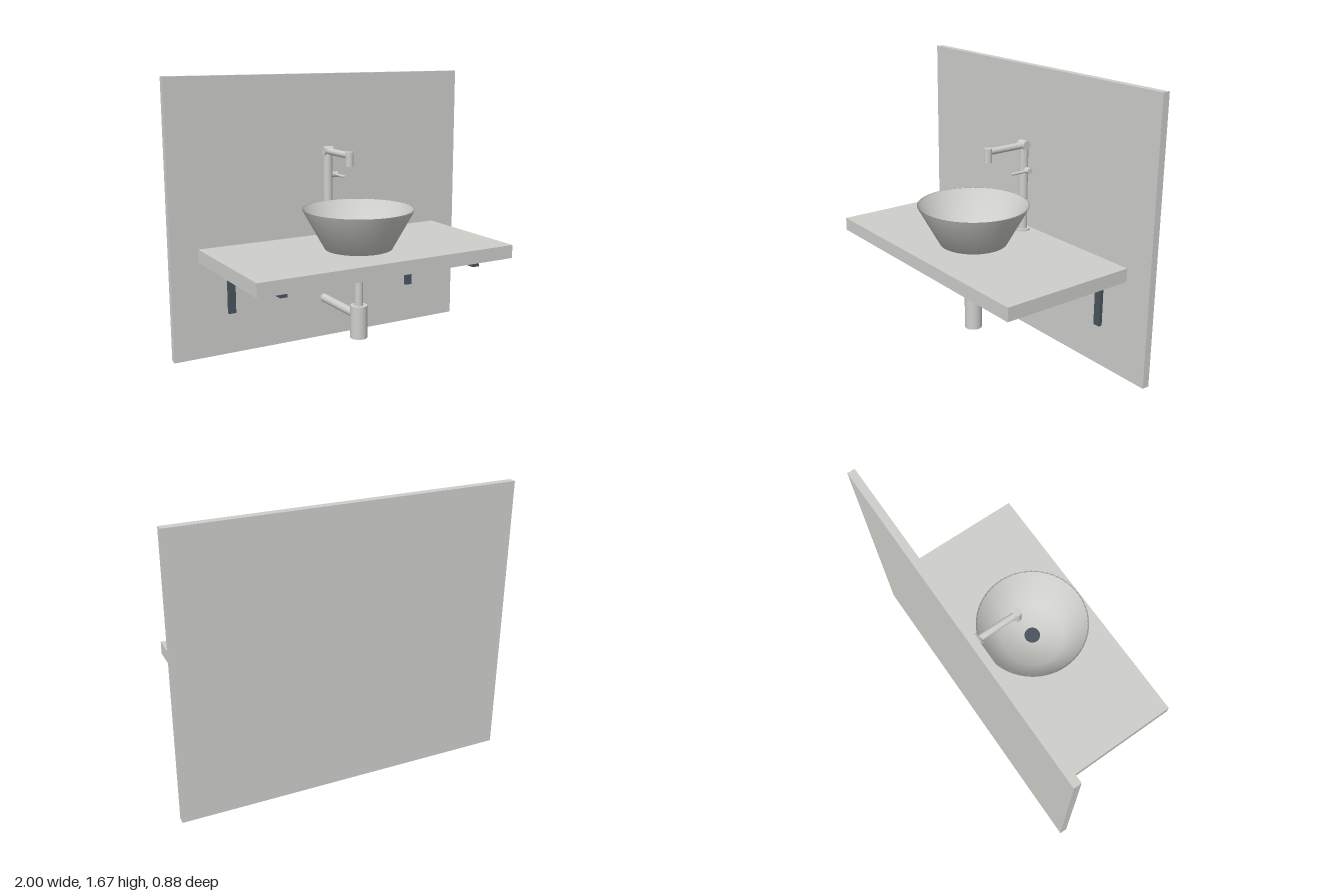
import * as THREE from 'three';

export function createModel() {
  const model = new THREE.Group();
  const stone = new THREE.MeshStandardMaterial({ color: 0xcececb });
  stone.name = 'light grey';
  const steel = new THREE.MeshStandardMaterial({ color: 0x4a545e });
  steel.name = 'dark slate';

  const add = (name, geometry, material, x, y, z) => {
    const mesh = new THREE.Mesh(geometry, material);
    mesh.name = name;
    mesh.position.set(x, y, z);
    model.add(mesh);
    return mesh;
  };
  // Box from its lower and upper corners
  const box = (name, material, [x0, y0, z0], [x1, y1, z1]) =>
    add(name, new THREE.BoxGeometry(x1 - x0, y1 - y0, z1 - z0), material,
      (x0 + x1) / 2, (y0 + y1) / 2, (z0 + z1) / 2);
  // Cylinder running between two points
  const rod = (name, material, radius, from, to) => {
    const a = new THREE.Vector3(...from), b = new THREE.Vector3(...to);
    const mesh = add(name, new THREE.CylinderGeometry(radius, radius, a.distanceTo(b), 32),
      material, 0, 0, 0);
    mesh.position.copy(a).add(b).multiplyScalar(0.5);
    mesh.quaternion.setFromUnitVectors(new THREE.Vector3(0, 1, 0), b.sub(a).normalize());
    return mesh;
  };

  // Wall panel and counter
  box('wallPanel', stone, [-1, 0, -0.44], [1, 1.67, -0.395]);
  box('counter', stone, [-0.83, 0.59, -0.395], [0.83, 0.67, 0.44]);

  // Pair of L-shaped brackets
  for (const side of [-1, 1]) {
    const x = side * 0.635, w = 0.0225;
    const name = side > 0 ? 'left' : 'right';
    box(name + 'BracketArm', steel, [x - w, 0.54, -0.395], [x + w, 0.59, 0.345]);
    box(name + 'BracketUpright', steel, [x - w, 0.255, -0.395], [x + w, 0.54, -0.372]);
  }

  // Basin: one closed profile, outside then inside
  const profile = [[0, 0], [0.2, 0], [0.33, 0.235], [0.32, 0.235], [0.19, 0.015], [0, 0.015]]
    .map(([r, y]) => new THREE.Vector2(r, y));
  add('basin', new THREE.LatheGeometry(profile, 64), stone, 0, 0.67, 0.04);
  rod('drainCover', steel, 0.047, [0, 0.683, 0.04], [0, 0.691, 0.04]);

  // Tap
  const tapZ = -0.333;
  rod('tapBase', stone, 0.045, [0, 0.67, tapZ], [0, 0.682, tapZ]);
  rod('tapPost', stone, 0.028, [0, 0.68, tapZ], [0, 1.205, tapZ]);
  rod('tapElbow', stone, 0.028, [-0.03, 1.205, tapZ], [0.03, 1.205, tapZ]);
  rod('tapSpout', stone, 0.02, [0, 1.203, tapZ], [0, 1.203, -0.065]);
  rod('tapOutlet', stone, 0.024, [0, 1.14, -0.065], [0, 1.225, -0.065]);
  rod('leverHub', stone, 0.018, [0, 1.055, tapZ], [0.063, 1.055, tapZ]);
  rod('lever', stone, 0.008, [0.05, 1.055, tapZ], [0.05, 1.055, -0.2]);

  // Waste pipe and bottle trap
  rod('wastePipe', stone, 0.025, [0, 0.32, 0.043], [0, 0.59, 0.043]);
  rod('bottleTrap', stone, 0.052, [0, 0.12, 0.043], [0, 0.32, 0.043]);
  rod('wallPipe', stone, 0.026, [0, 0.254, 0.043], [0, 0.254, -0.395]);

  return model;
}
